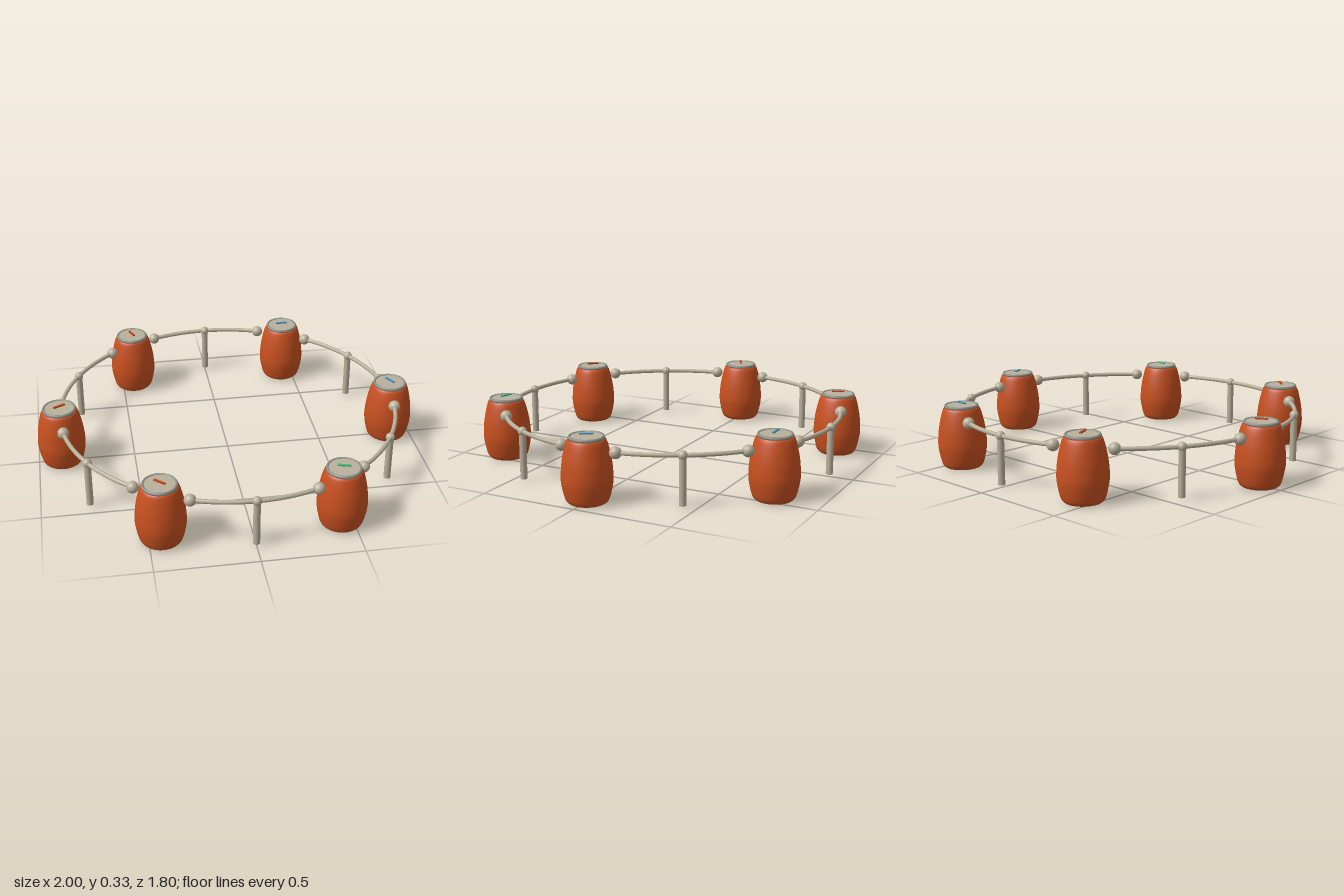
import * as THREE from 'three';

const mat = (name, color) => {
  const m = new THREE.MeshStandardMaterial({ color });
  m.name = name;
  return m;
};

const RING = 0.875; // radius of the circle of barrels
const RAIL_Y = 0.255;

export function createModel() {
  const group = new THREE.Group();
  const clay = mat('orange clay', 0xc8501f);
  const stone = mat('pale stone', 0xb9b19b);
  const grey = mat('grey rim', 0x8c9188);
  const red = mat('red marker', 0xc4481c);
  const blue = mat('blue marker', 0x4a94bd);
  const green = mat('green marker', 0x46b87c);

  const add = (parent, name, geo, material, x = 0, y = 0, z = 0) => {
    const mesh = new THREE.Mesh(geo, material);
    mesh.name = name;
    mesh.position.set(x, y, z);
    parent.add(mesh);
    return mesh;
  };
  const onRing = (deg, y) => {
    const a = THREE.MathUtils.degToRad(deg);
    return new THREE.Vector3(RING * Math.cos(a), y, RING * Math.sin(a));
  };

  // Barrel profile, bulging low and tapering to the neck
  const bulge = new THREE.SplineCurve([
    [0.088, 0], [0.102, 0.014], [0.113, 0.05], [0.122, 0.1], [0.1225, 0.14],
    [0.117, 0.2], [0.105, 0.26], [0.093, 0.3], [0.084, 0.309],
  ].map(([r, y]) => new THREE.Vector2(r, y)));
  const bodyGeo = new THREE.LatheGeometry(
    [new THREE.Vector2(0, 0), ...bulge.getPoints(28), new THREE.Vector2(0, 0.309)], 40);

  // Rim ring with a softly rounded lip
  const rimGeo = new THREE.LatheGeometry([
    [0.072, 0.308], [0.086, 0.308], [0.087, 0.315], [0.083, 0.322], [0.077, 0.322], [0.073, 0.316], [0.072, 0.308],
  ].map(([r, y]) => new THREE.Vector2(r, y)), 40);
  const lidGeo = new THREE.CylinderGeometry(0.074, 0.074, 0.012, 40);
  const markerGeo = new THREE.BoxGeometry(0.064, 0.007, 0.011);

  // Marker colour and heading (degrees, turning from +x towards +z) per barrel
  const markers = [
    [blue, 62], [green, 15], [red, 42], [red, -28], [red, 67], [blue, 0],
  ];
  markers.forEach(([color, heading], i) => {
    const barrel = new THREE.Group();
    barrel.name = 'barrel';
    barrel.position.copy(onRing(i * 60, 0));
    add(barrel, 'barrelBody', bodyGeo, clay);
    add(barrel, 'barrelRim', rimGeo, grey);
    add(barrel, 'barrelLid', lidGeo, stone, 0, 0.312, 0);
    const marker = add(barrel, 'lidMarker', markerGeo, color, 0, 0.33, 0);
    marker.rotation.y = -THREE.MathUtils.degToRad(heading);
    group.add(barrel);
  });

  // Curved rails between the barrels, each with end balls and a middle post
  const endBall = new THREE.SphereGeometry(0.03, 24, 16);
  const postBall = new THREE.SphereGeometry(0.023, 20, 14);
  const postGeo = new THREE.CylinderGeometry(0.0175, 0.0175, 0.24, 20);
  for (let i = 0; i < 6; i++) {
    const rail = new THREE.Group();
    rail.name = 'railSection';
    const start = i * 60 + 9.6, end = i * 60 + 50.4;
    const points = [];
    for (let k = 0; k <= 8; k++) points.push(onRing(start + (end - start) * k / 8, RAIL_Y));
    add(rail, 'rail', new THREE.TubeGeometry(new THREE.CatmullRomCurve3(points), 28, 0.011, 10), stone);
    for (const p of [points[0], points[8]]) add(rail, 'railEnd', endBall, stone, p.x, p.y, p.z);
    const mid = points[4];
    add(rail, 'postCap', postBall, stone, mid.x, mid.y, mid.z);
    add(rail, 'post', postGeo, stone, mid.x, 0.134, mid.z);
    group.add(rail);
  }
  return group;
}
